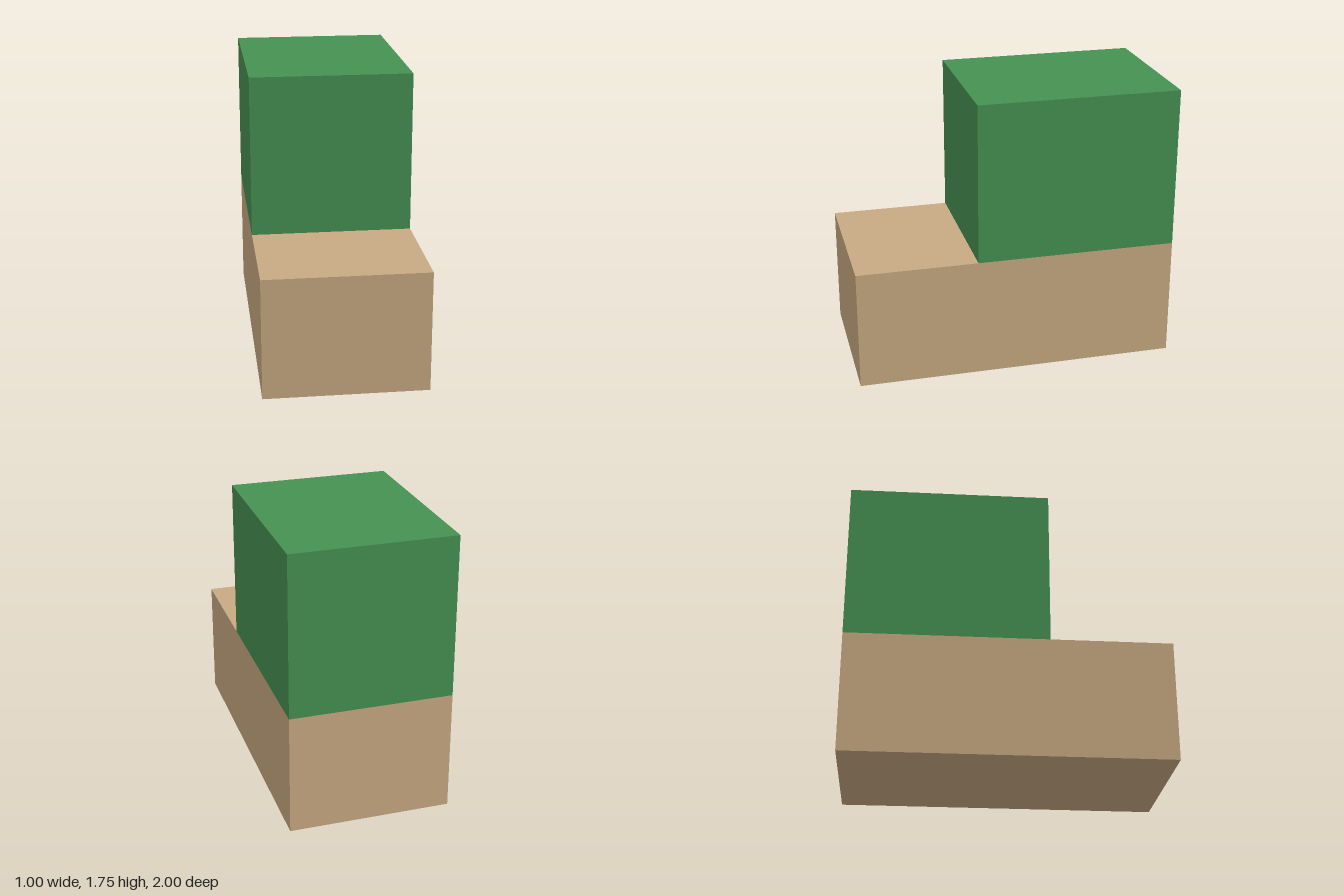
import * as THREE from 'three';

// Adds a box given its size, base height and z centre
function addBlock(group, name, material, [w, h, d], baseY, z) {
  const mesh = new THREE.Mesh(new THREE.BoxGeometry(w, h, d), material);
  mesh.name = name;
  mesh.position.set(0, baseY + h / 2, z);
  group.add(mesh);
}

export function createModel() {
  const tan = new THREE.MeshStandardMaterial({ color: 0xc8aa82 });
  tan.name = 'tan';
  const green = new THREE.MeshStandardMaterial({ color: 0x469152 });
  green.name = 'green';

  const model = new THREE.Group();
  model.name = 'steppedBlocks';

  // Long low base
  addBlock(model, 'base', tan, [1, 0.75, 2], 0, 0);
  // Taller block flush with the back of the base
  addBlock(model, 'upperBlock', green, [1, 1, 1.25], 0.75, -0.375);

  return model;
}
